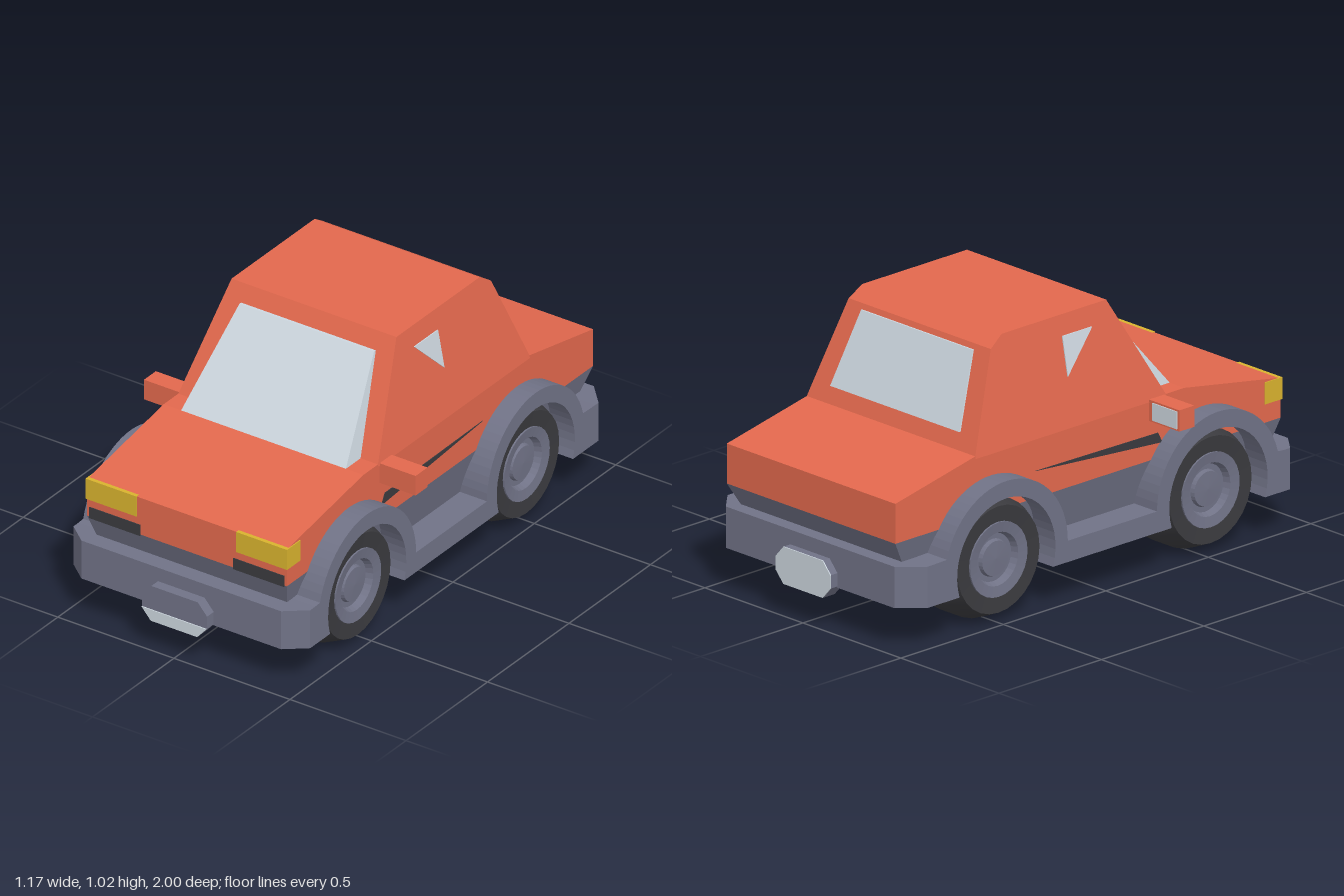
import * as THREE from 'three';

const mat = (name, color) => Object.assign(new THREE.MeshStandardMaterial({ color }), { name });

export function createModel() {
  const red = mat('red paint', 0xe2684d);
  const grey = mat('grey trim', 0x707286);
  const glass = mat('pale glass', 0xccd6de);
  const yellow = mat('yellow lamp', 0xd8b22e);
  const black = mat('black rubber', 0x3a3a3e);

  const car = new THREE.Group();
  car.name = 'car';

  const add = (name, geometry, material, parent = car) => {
    const mesh = new THREE.Mesh(geometry, material);
    mesh.name = name;
    parent.add(mesh);
    return mesh;
  };
  const polygon = (points) => new THREE.Shape(points.map(([a, b]) => new THREE.Vector2(a, b)));
  const box = (x0, x1, y0, y1, z0, z1) =>
    new THREE.BoxGeometry(x1 - x0, y1 - y0, z1 - z0)
      .translate((x0 + x1) / 2, (y0 + y1) / 2, (z0 + z1) / 2);

  // Side profile (z, y) swept from x0 to x1
  const sweep = (shape, x0, x1) =>
    new THREE.ExtrudeGeometry(shape, { depth: x1 - x0, bevelEnabled: false, curveSegments: 14 })
      .rotateY(-Math.PI / 2).translate(x1, 0, 0);

  // Side profile swept across the car; half width runs from wa at height ya to wb at yb
  const slab = (points, ya, wa, yb, wb) => {
    const g = sweep(polygon(points), -1, 1);
    const p = g.attributes.position;
    for (let i = 0; i < p.count; i++) {
      p.setX(i, p.getX(i) * (wa + (wb - wa) * (p.getY(i) - ya) / (yb - ya)));
    }
    g.computeVertexNormals();
    return g;
  };

  // Painted body, cabin and chassis
  add('body', slab([[0.92, 0.4], [0.92, 0.55], [0.45, 0.63], [-0.57, 0.63], [-0.96, 0.55], [-0.96, 0.4]],
    0.4, 0.43, 0.63, 0.43), red);
  add('cabin', slab([[0.36, 0.62], [0.36, 0.63], [0.14, 1.02], [-0.37, 1.02], [-0.43, 0.98], [-0.57, 0.63], [-0.57, 0.62]],
    0.63, 0.43, 1.02, 0.355), red);
  add('chassis', slab([[0.92, 0.4], [0.89, 0.315], [0.89, 0.16], [-0.91, 0.16], [-0.91, 0.315], [-0.96, 0.4]],
    0.16, 0.375, 0.4, 0.43), grey);

  // Windows
  add('windshield', slab([[0.34, 0.628], [0.45, 0.63], [0.185, 0.96], [0.16, 0.96]],
    0.63, 0.355, 0.96, 0.29), glass);
  add('rearWindow', slab([[-0.42, 0.96], [-0.444, 0.96], [-0.552, 0.69], [-0.53, 0.69]],
    0.69, 0.33, 0.96, 0.285), glass);
  add('sideWindows', slab([[0.055, 0.945], [-0.09, 0.945], [-0.09, 0.8]],
    0.63, 0.434, 1.02, 0.359), glass);

  // Dark flash along the doors
  add('sideStripe', slab([[0.34, 0.455], [0.32, 0.495], [-0.28, 0.502]], 0.4, 0.433, 0.6, 0.433), black);

  // Wheel arches and sill, one swept outline per side
  const front = 0.54, rear = -0.495, axleY = 0.235;
  const skirt = new THREE.Shape();
  const cut = 0.24, dip = Math.asin((axleY - 0.16) / cut);
  skirt.moveTo(0.86, 0.16);
  skirt.lineTo(0.86, 0.315);
  skirt.absarc(front, 0.24, 0.3, 0.26, Math.PI, false);
  skirt.absarc(rear, 0.24, 0.3, 0, Math.PI - 0.26, false);
  skirt.lineTo(-0.86, 0.315);
  skirt.lineTo(-0.86, 0.16);
  skirt.absarc(rear, axleY, cut, Math.PI + dip, -dip, true);
  skirt.absarc(front, axleY, cut, Math.PI + dip, -dip, true);

  // Bumper outline (x, z) raised from y 0.16 to 0.315
  const bumper = (inner, corner, outer) =>
    new THREE.ExtrudeGeometry(
      polygon([[-0.51, -inner], [-0.51, -corner], [-0.43, -outer], [0.43, -outer], [0.51, -corner], [0.51, -inner]]),
      { depth: 0.155, bevelEnabled: false }).rotateX(-Math.PI / 2).translate(0, 0.16, 0);
  add('frontBumper', bumper(0.8, 0.89, 0.955), grey);
  add('rearBumper', bumper(-0.76, -0.88, -0.965), grey);

  // Number plates: grey holder with a pale face
  const plate = (points, z, depth) =>
    new THREE.ExtrudeGeometry(polygon(points), { depth, bevelEnabled: false }).translate(0, 0, z);
  const octagon = [[-0.14, 0.165], [-0.1, 0.12], [0.1, 0.12], [0.14, 0.165],
    [0.14, 0.215], [0.1, 0.26], [-0.1, 0.26], [-0.14, 0.215]];
  add('frontPlateHolder', plate(octagon, 0.94, 0.056), grey);
  add('frontPlateFace', plate(octagon.slice(0, 4), 0.996, 0.004), glass);
  add('rearPlateHolder', plate(octagon, -0.996, 0.056), grey);
  add('rearPlateFace', plate(octagon, -1, 0.004), glass);

  // Wheel profiles (radius, distance from the car's centre line)
  const lathe = (points) =>
    new THREE.LatheGeometry(points.map(([r, a]) => new THREE.Vector2(r, a)), 28).rotateZ(-Math.PI / 2);
  const flat = (g) => { const f = g.toNonIndexed(); f.computeVertexNormals(); return f; };
  const tyreTread = lathe([[0.2, 0.2], [0.235, 0.28], [0.235, 0.39], [0.2, 0.47]]);
  const tyreOuter = flat(lathe([[0.2, 0.47], [0.135, 0.465]]));
  const tyreInner = flat(lathe([[0, 0.2], [0.2, 0.2]]));
  const rim = flat(lathe([[0.14, 0.45], [0.14, 0.472], [0.1, 0.466], [0.09, 0.44], [0.07, 0.44], [0.065, 0.455], [0, 0.458]]));

  for (const s of [1, -1]) {
    const side = s > 0 ? 'left' : 'right';
    const span = (a, b) => (s > 0 ? [a, b] : [-b, -a]);

    add(side + 'ArchesAndSill', sweep(skirt, ...span(0.38, 0.51)), grey);
    add(side + 'Headlight', box(...span(0.215, 0.434), 0.47, 0.552, 0.84, 0.924), yellow);
    add(side + 'GrilleSlot', box(...span(0.2, 0.42), 0.395, 0.44, 0.915, 0.923), black);
    add(side + 'Mirror', box(...span(0.42, 0.585), 0.55, 0.63, 0.277, 0.35), red);
    add(side + 'MirrorGlass', box(...span(0.45, 0.575), 0.557, 0.623, 0.273, 0.278), glass);

    for (const [end, z] of [['Front', front], ['Rear', rear]]) {
      const wheel = new THREE.Group();
      wheel.name = side + end + 'Wheel';
      wheel.position.set(0, axleY, z);
      if (s < 0) wheel.rotation.y = Math.PI;
      add('tyreTread', tyreTread, black, wheel);
      add('tyreOuterWall', tyreOuter, black, wheel);
      add('tyreInnerWall', tyreInner, black, wheel);
      add('rim', rim, grey, wheel);
      car.add(wheel);
    }
  }
  return car;
}
